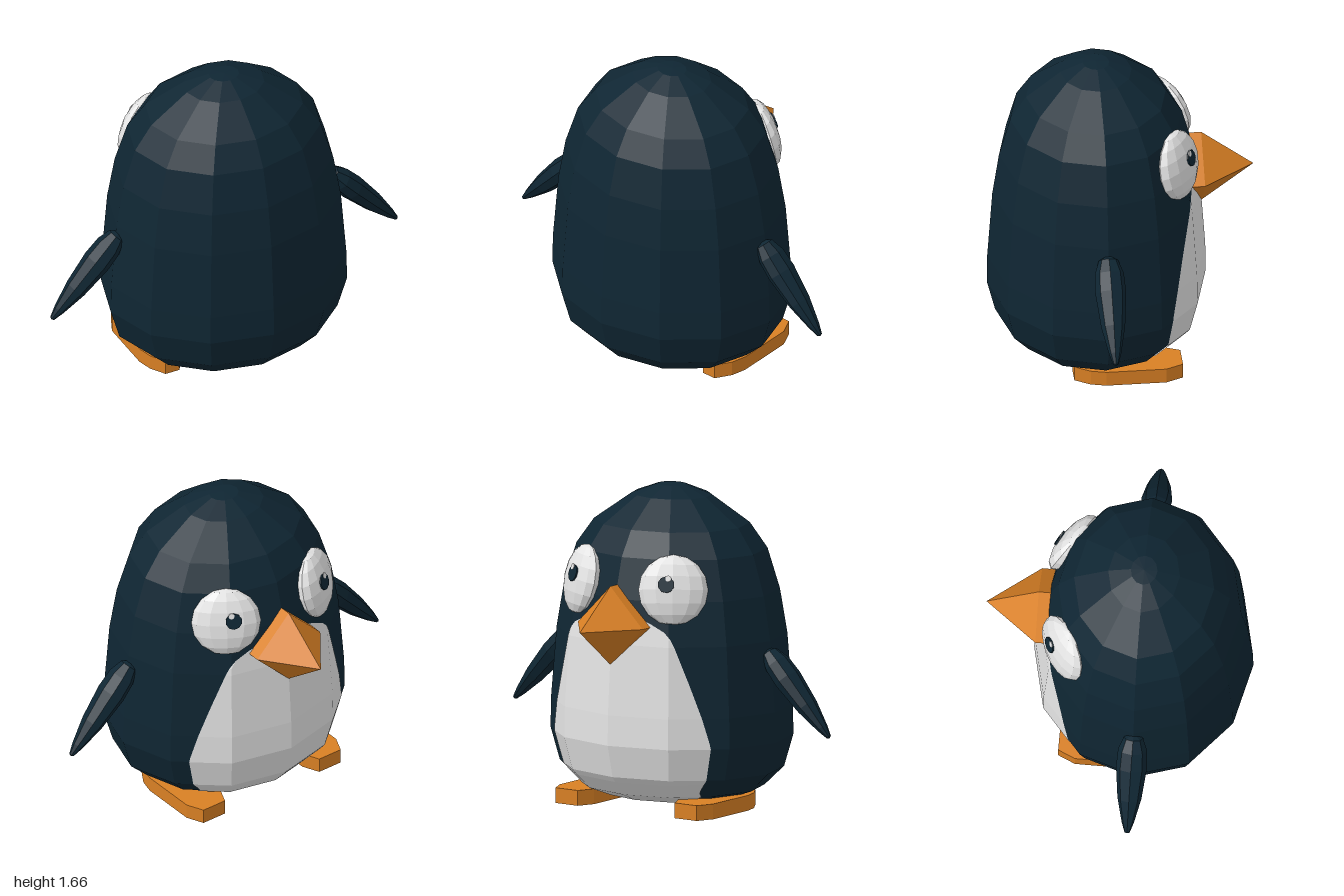
import * as THREE from 'three';

const DEPTH = 0.863, CZ = 0.125;
// body half-width and height, bottom to top
const PROFILE = [[0, 0.015], [0.2, 0.03], [0.37, 0.055], [0.5, 0.1], [0.605, 0.2], [0.655, 0.37], [0.652, 0.53],
  [0.622, 0.9], [0.582, 1.13], [0.515, 1.34], [0.42, 1.47], [0.215, 1.61], [0.08, 1.66], [0, 1.665]];
// how far back the belly patch reaches: height, z
const BELLY_EDGE = [[0.015, 0.25], [0.03, 0.24], [0.05, 0.1], [0.08, -0.12], [0.13, -0.17], [0.2, -0.2],
  [0.4, -0.225], [0.7, -0.28], [1.0, -0.34], [1.12, -0.4]];

function lookup(table, v) {
  for (let i = 1; i < table.length; i++) {
    const [a, p] = table[i - 1], [b, q] = table[i];
    if (v <= b) return p + (q - p) * (v - a) / (b - a);
  }
  return table[table.length - 1][1];
}

// point on the twelve-sided body; angle 0 is the face side
function bodyPoint(r, y, angle) {
  const step = Math.PI / 6;
  const within = Math.abs(angle) % step;
  const k = r * Math.cos(step / 2) / Math.cos(within - step / 2);
  return [k * Math.sin(angle), y, CZ - DEPTH * k * Math.cos(angle)];
}

// thin patch following the body facets, trimmed along the belly edge
function bellyGeometry() {
  const rows = [];
  for (let i = 0; i < 8; i++) {
    const [r0, y0] = PROFILE[i], [r1, y1] = PROFILE[i + 1];
    const n = i < 5 ? 4 : 6;
    for (let j = 0; j < n; j++) rows.push([r0 + (r1 - r0) * j / n, y0 + (y1 - y0) * j / n]);
  }
  const pos = [], index = [], cols = 13;
  rows.forEach(([r, y]) => {
    let lo = 0, hi = Math.PI;
    const edge = lookup(BELLY_EDGE, y);
    for (let k = 0; k < 30; k++) {
      const mid = (lo + hi) / 2;
      if (bodyPoint(r, y, mid)[2] < edge) lo = mid; else hi = mid;
    }
    for (let c = 0; c < cols; c++) {
      const a = THREE.MathUtils.clamp((c - 6) * Math.PI / 6, -lo, lo);
      pos.push(...bodyPoint(r + 0.004, y - (y < 0.2 ? 0.004 : 0), a));
    }
  });
  for (let j = 0; j < rows.length - 1; j++) {
    for (let c = 0; c < cols - 1; c++) {
      const a = j * cols + c, b = a + cols;
      index.push(a, b, a + 1, a + 1, b, b + 1);
    }
  }
  const g = new THREE.BufferGeometry();
  g.setAttribute('position', new THREE.Float32BufferAttribute(pos, 3));
  g.setIndex(index);
  g.computeVertexNormals();
  return g;
}

const lathe = (points, sides) => new THREE.LatheGeometry(points.map(([x, y]) => new THREE.Vector2(x, y)), sides);

export function createModel() {
  const model = new THREE.Group();
  model.name = 'bird';
  const material = (name, color) => {
    const m = new THREE.MeshStandardMaterial({ color, flatShading: true });
    m.name = name;
    return m;
  };
  const navy = material('darkNavy', 0x0f2633);
  const white = material('white', 0xe4e4e4);
  white.side = THREE.DoubleSide;
  const orange = material('orange', 0xd98024);

  const add = (parent, name, geometry, mat, x = 0, y = 0, z = 0) => {
    const m = new THREE.Mesh(geometry, mat);
    m.name = name;
    m.position.set(x, y, z);
    parent.add(m);
    return m;
  };

  // body and belly
  add(model, 'body', lathe(PROFILE, 12), navy, 0, 0, CZ).scale.z = DEPTH;
  add(model, 'belly', bellyGeometry(), white);

  // beak: four-sided point on a short diamond block, pointing to -z
  const beak = lathe([[0, 0], [0.205, 0], [0.205, 0.07], [0, 0.34]], 4);
  beak.rotateX(-Math.PI / 2);
  add(model, 'beak', beak, orange, 0, 0.997, -0.35);

  // foot outline, toes towards -z
  const outline = [[-0.07, -0.28], [0.07, -0.28], [0.11, -0.19], [0.11, 0.12], [0.09, 0.2], [0.04, 0.28],
    [-0.04, 0.28], [-0.09, 0.2], [-0.11, 0.12], [-0.11, -0.19]];
  const footGeometry = new THREE.ExtrudeGeometry(
    new THREE.Shape(outline.map(([x, z]) => new THREE.Vector2(x, -z))), { depth: 0.08, bevelEnabled: false });
  footGeometry.rotateX(-Math.PI / 2);

  const flipperGeometry = lathe([[0, -0.585], [0.014, -0.578], [0.032, -0.52], [0.062, -0.38], [0.08, -0.2],
    [0.075, -0.1], [0.05, -0.03], [0, 0]], 8);

  for (const side of [1, -1]) {
    const label = side > 0 ? 'left' : 'right';
    add(model, label + 'Foot', footGeometry, orange, side * 0.377, 0, 0);

    const flipper = add(model, label + 'Flipper', flipperGeometry, navy, side * 0.6, 0.86, CZ);
    flipper.scale.x = 0.85;
    flipper.rotation.z = side * 0.75;

    // eye: flattened ball with pupil and glint, facing outwards
    const eye = new THREE.Group();
    eye.name = label + 'Eye';
    eye.position.set(side * 0.29, 1.19, -0.268);
    eye.lookAt(side * 0.84, 1.41, -1.098);
    model.add(eye);
    add(eye, 'eyeball', new THREE.SphereGeometry(1, 12, 8), white).scale.set(0.18, 0.183, 0.07);
    const disc = (r, h) => new THREE.CylinderGeometry(r, r, h, 10).rotateX(Math.PI / 2);
    const pupil = add(eye, 'pupil', disc(0.043, 0.009), navy, side * 0.035, 0.025, 0.068);
    pupil.rotation.set(-0.06, side * 0.1, 0);
    add(pupil, 'glint', disc(0.016, 0.004), white, -side * 0.012, 0.031, 0.005);
  }
  return model;
}
